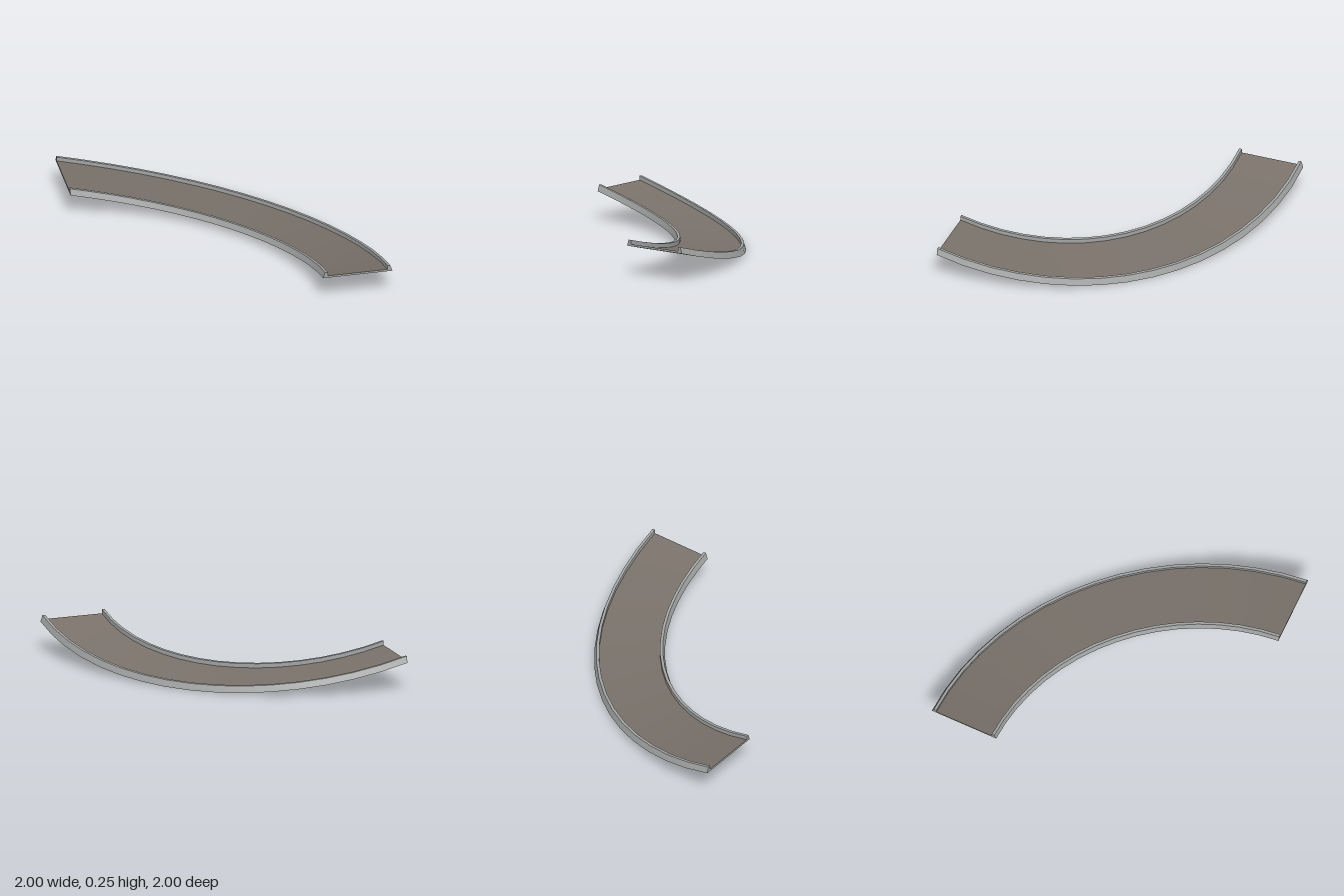
import * as THREE from 'three';

const SEGMENTS = 16;

// Point on the banked quarter turn: t runs 0..1 along it, r is the radius, h the height at the ends
function place(r, h, t) {
  const a = t * Math.PI / 2;
  const u = 2 * t - 1;
  const sag = 0.155 + (r - 1.5) * 0.11; // the outer edge dips more
  return [-1 + r * Math.sin(a), h - sag * (1 - u * u), 1 - r * Math.cos(a)];
}

// Sweeps a closed convex profile (clockwise in r, h); one group per edge, then the end caps
function sweep(name, profile, materials) {
  const geo = new THREE.BufferGeometry();
  const pos = [], index = [];
  const n = profile.length;
  for (let e = 0; e < n; e++) {
    const base = pos.length / 3, start = index.length;
    for (let i = 0; i <= SEGMENTS; i++) {
      pos.push(...place(...profile[e], i / SEGMENTS), ...place(...profile[(e + 1) % n], i / SEGMENTS));
    }
    for (let i = 0; i < SEGMENTS; i++) {
      const a = base + i * 2;
      index.push(a, a + 2, a + 1, a + 1, a + 2, a + 3);
    }
    geo.addGroup(start, index.length - start, e);
  }
  const capStart = index.length;
  for (const t of [0, 1]) {
    const base = pos.length / 3;
    for (const p of profile) pos.push(...place(...p, t));
    for (let i = 1; i < n - 1; i++) {
      if (t === 0) index.push(base, base + i, base + i + 1);
      else index.push(base, base + i + 1, base + i);
    }
  }
  geo.addGroup(capStart, index.length - capStart, n);
  geo.setAttribute('position', new THREE.Float32BufferAttribute(pos, 3));
  geo.setIndex(index);
  geo.computeVertexNormals();
  const mesh = new THREE.Mesh(geo, materials);
  mesh.name = name;
  return mesh;
}

export function createModel() {
  const road = new THREE.MeshStandardMaterial({ color: 0x79716a });
  road.name = 'brown grey road';
  const grey = new THREE.MeshStandardMaterial({ color: 0xa3a5a4 });
  grey.name = 'light grey concrete';
  const allGrey = Array(5).fill(grey);

  const group = new THREE.Group();
  group.name = 'bankedCurve';
  // Deck: road surface on top, grey beneath
  group.add(sweep('roadDeck',
    [[1.535, 0.225], [1.965, 0.225], [1.965, 0.21], [1.535, 0.21]],
    [road, grey, grey, grey, grey]));
  // Kerbs with sloping outer walls
  group.add(sweep('innerKerb',
    [[1.5, 0.21], [1.515, 0.255], [1.535, 0.255], [1.535, 0.21]], allGrey));
  group.add(sweep('outerKerb',
    [[1.965, 0.21], [1.965, 0.255], [1.985, 0.255], [2, 0.21]], allGrey));
  return group;
}
